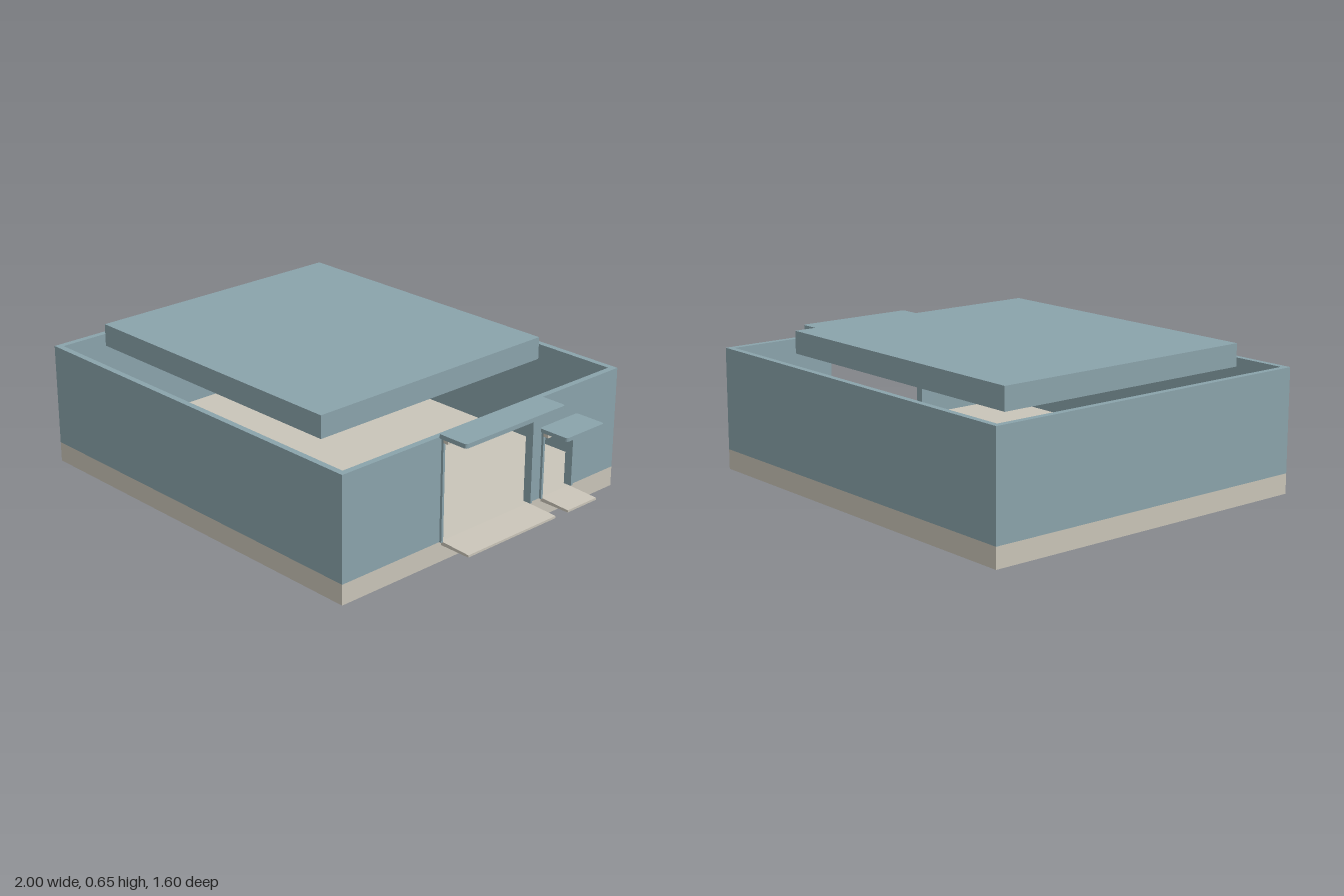
import * as THREE from 'three';

export function createModel() {
  const model = new THREE.Group();
  model.name = 'building';
  const blue = new THREE.MeshStandardMaterial({ color: 0x8aa3ab });
  blue.name = 'blue grey cladding';
  const beige = new THREE.MeshStandardMaterial({ color: 0xc9c4b8 });
  beige.name = 'beige concrete';

  const add = (parent, name, geometry, material) => {
    const mesh = new THREE.Mesh(geometry, material);
    mesh.name = name;
    parent.add(mesh);
    return mesh;
  };
  // box given by its minimum and maximum on each axis
  const box = (parent, name, material, x0, x1, y0, y1, z0, z1) => {
    const g = new THREE.BoxGeometry(x1 - x0, y1 - y0, z1 - z0);
    g.translate((x0 + x1) / 2, (y0 + y1) / 2, (z0 + z1) / 2);
    return add(parent, name, g, material);
  };
  const extrude = (shape, depth) =>
    new THREE.ExtrudeGeometry(shape, { depth, bevelEnabled: false, curveSegments: 4 });
  const polygon = (points) => new THREE.Shape(points.map(([x, y]) => new THREE.Vector2(x, y)));

  const floorY = 0.09, wallTop = 0.55, face = 0.85, thick = 0.028;
  const doors = [
    { name: 'largeDoor', z: 0, half: 0.26, top: 0.525, lintelTop: 0.549, canopyTop: 0.568, canopyHalf: 0.29 },
    { name: 'smallDoor', z: -0.427, half: 0.09, top: 0.375, lintelTop: 0.398, canopyTop: 0.415, canopyHalf: 0.117 },
  ];

  // plinth, three plain walls and the raised roof slab
  box(model, 'plinth', beige, -1, face, 0, floorY, -0.8, 0.8);
  box(model, 'frontWall', blue, -1, face, floorY, wallTop, 0.8 - thick, 0.8);
  box(model, 'backWall', blue, -1, face, floorY, wallTop, -0.8, -0.8 + thick);
  box(model, 'rightWall', blue, -1, -1 + thick, floorY, wallTop, -0.8 + thick, 0.8 - thick);
  box(model, 'roofSlab', blue, -0.85, 0.55, wallTop, 0.65, -0.633, 0.633);

  // wall with door openings: outline runs along -z, then is turned to face +x
  const end = 0.8 - thick;
  const outline = [[-end, wallTop], [-end, floorY]];
  for (const d of doors) {
    const a = -d.z - d.half, b = -d.z + d.half;
    outline.push([a, floorY], [a, d.top], [b, d.top], [b, floorY]);
  }
  outline.push([end, floorY], [end, wallTop]);
  const wall = extrude(polygon(outline), thick);
  wall.rotateY(Math.PI / 2).translate(face - thick, 0, 0);
  add(model, 'doorWall', wall, blue);

  // flat plate with rounded corners for the canopies
  const canopyShape = (w, h, r) => {
    const s = new THREE.Shape();
    s.moveTo(r, -h).lineTo(w - r, -h).quadraticCurveTo(w, -h, w, -h + r);
    s.lineTo(w, h - r).quadraticCurveTo(w, h, w - r, h);
    s.lineTo(r, h).quadraticCurveTo(0, h, 0, h - r);
    s.lineTo(0, -h + r).quadraticCurveTo(0, -h, r, -h);
    return s;
  };

  for (const d of doors) {
    const g = new THREE.Group();
    g.name = d.name;
    g.position.z = d.z;
    model.add(g);
    // door frame
    for (const s of [-1, 1]) {
      const a = s * d.half, b = s * (d.half + 0.011);
      box(g, 'jamb', blue, face, 0.861, floorY, d.lintelTop, Math.min(a, b), Math.max(a, b));
    }
    box(g, 'frameHead', blue, face, 0.861, d.top, d.lintelTop, -d.half, d.half);
    box(g, 'lintel', beige, 0.861, 0.886, d.top, d.lintelTop, -d.half - 0.012, d.half + 0.012);
    // canopy
    const canopy = extrude(canopyShape(0.149, d.canopyHalf, 0.015), d.canopyTop - d.lintelTop);
    canopy.rotateX(-Math.PI / 2).translate(0.851, d.lintelTop, 0);
    add(g, 'canopy', canopy, blue);
    // gently sloping doorstep
    const step = extrude(polygon([[face, 0.073], [1, 0.073], [1, 0.083], [face, 0.09]]), d.half * 2);
    step.translate(0, 0, -d.half);
    add(g, 'doorstep', step, beige);
  }
  return model;
}
